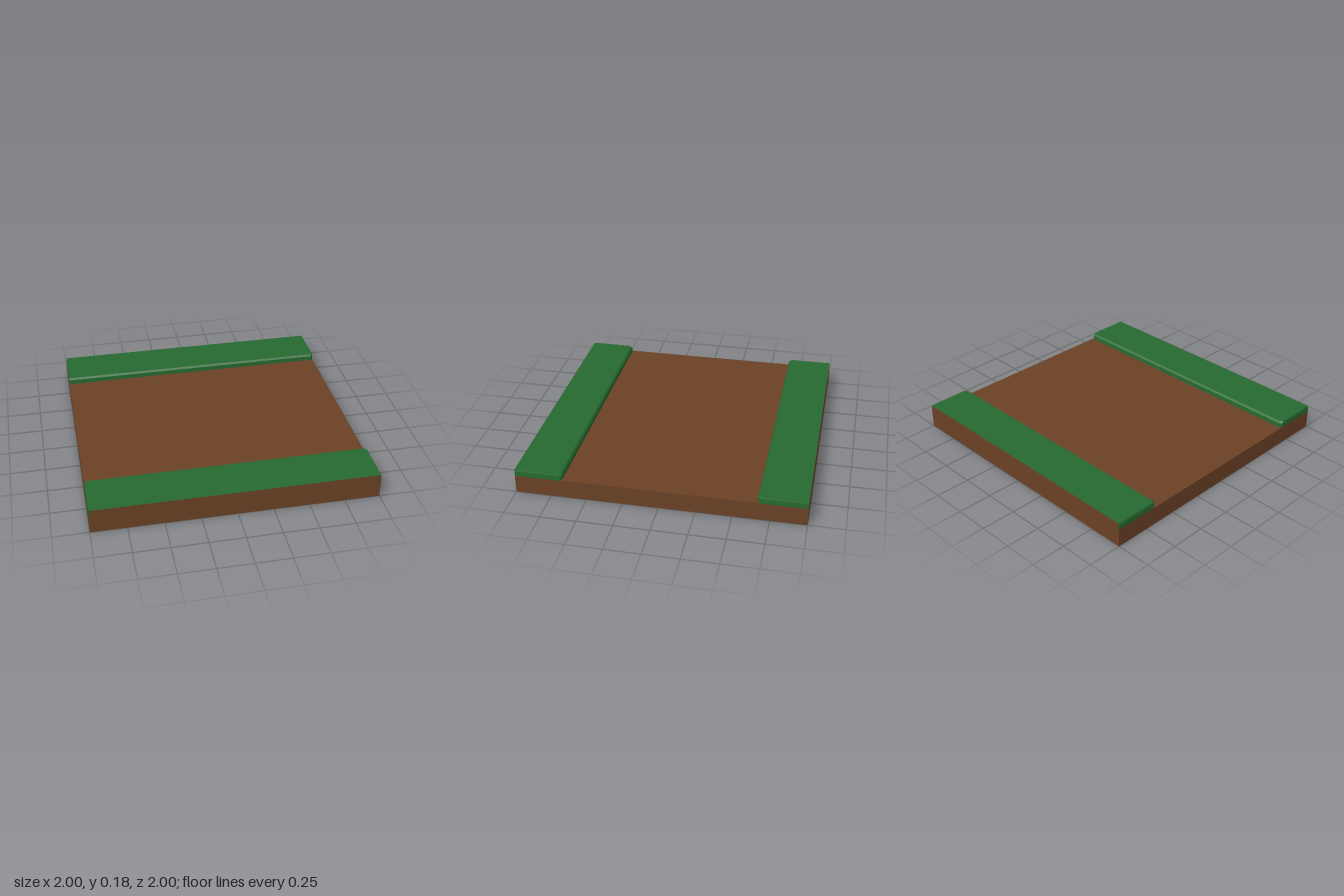
import * as THREE from 'three';

const soil = new THREE.MeshStandardMaterial({ color: 0x6b4125 });
const grass = new THREE.MeshStandardMaterial({ color: 0x266a30, flatShading: true });

function box(name, w, h, d, x, y, z) {
  const mesh = new THREE.Mesh(new THREE.BoxGeometry(w, h, d), soil);
  mesh.name = name;
  mesh.position.set(x, y, z);
  return mesh;
}

// Outline of a grass strip seen from above; inset pulls the inner edge and ends in
function outline(y, inset) {
  const e = 1 - inset * 0.3, inner = 0.667 + inset, c = 0.015;
  return [[-e, 0.999], [e, 0.999], [e, inner + c], [e - c, inner], [c - e, inner], [-e, inner + c]]
    .map(([x, z]) => [x, y, z]);
}

// Strip with clipped inner corners and a small bevel along its upper edge
function grassGeometry() {
  const loops = [outline(0.13, 0), outline(0.167, 0), outline(0.18, 0.012)];
  const n = loops[0].length;
  const index = [];
  for (let r = 0; r < loops.length - 1; r++) {
    for (let i = 0; i < n; i++) {
      const a = r * n + i, b = r * n + (i + 1) % n;
      index.push(a, b, b + n, a, b + n, a + n);
    }
  }
  const top = (loops.length - 1) * n;
  for (let i = 1; i < n - 1; i++) index.push(top, top + i, top + i + 1);
  const indexed = new THREE.BufferGeometry();
  indexed.setAttribute('position', new THREE.Float32BufferAttribute(loops.flat(2), 3));
  indexed.setIndex(index);
  const geometry = indexed.toNonIndexed();
  geometry.computeVertexNormals();
  return geometry;
}

export function createModel() {
  const group = new THREE.Group();
  group.name = 'pathTile';

  // Dirt slab
  group.add(box('dirtBase', 2, 0.133, 2, 0, 0.0665, 0));

  // Grass bank along the front, turned half round for the back
  const geometry = grassGeometry();
  ['frontBank', 'backBank'].forEach((name, i) => {
    const bank = new THREE.Group();
    bank.name = name;
    const strip = new THREE.Mesh(geometry, grass);
    strip.name = 'grassStrip';
    // Dirt showing on the outer face of the bank
    bank.add(strip, box('dirtEdge', 1.984, 0.049, 0.05, 0, 0.1545, 0.975));
    bank.rotation.y = i * Math.PI;
    group.add(bank);
  });
  return group;
}
